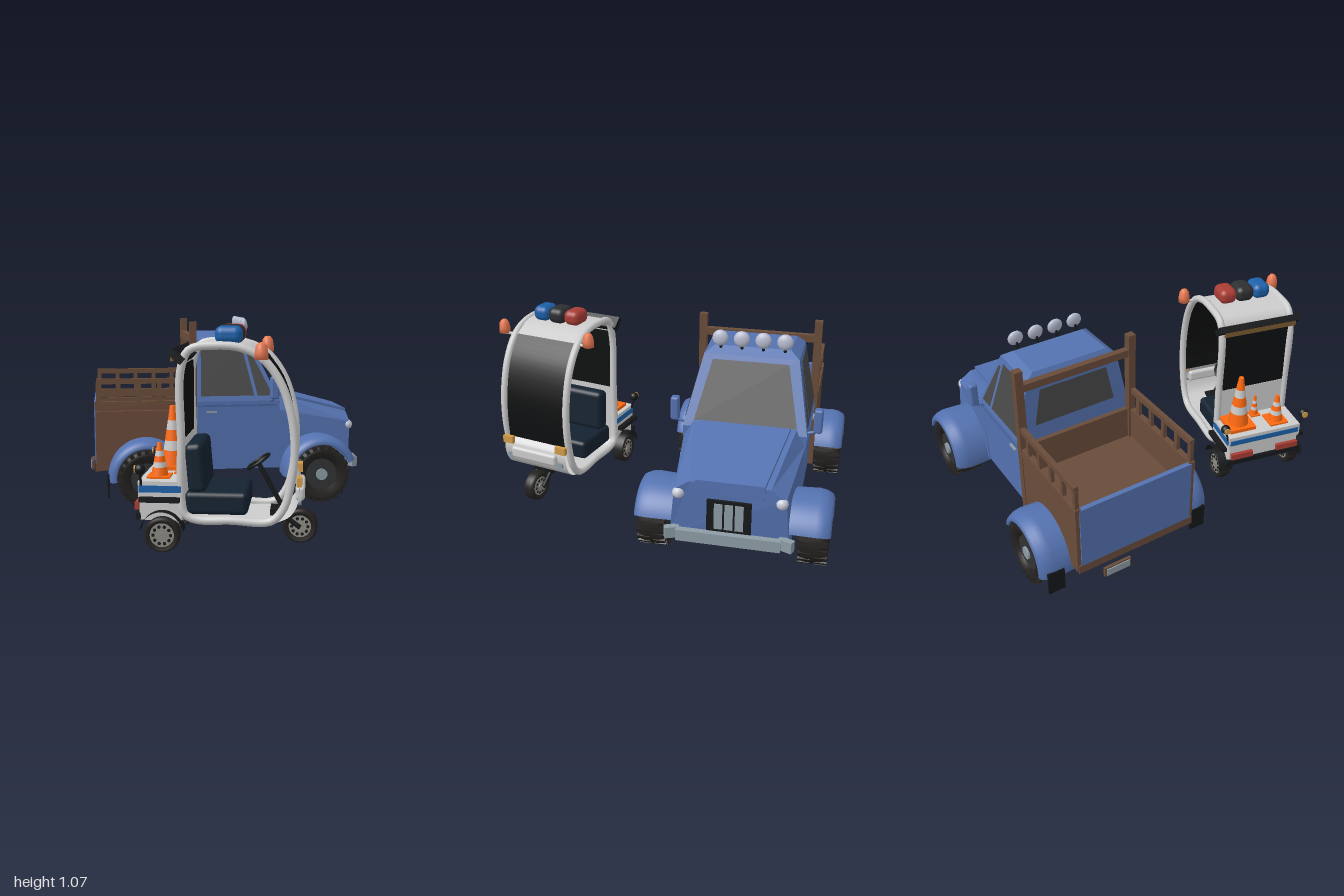
import * as THREE from 'three';
import { RoundedBoxGeometry } from 'three/addons/geometries/RoundedBoxGeometry.js';

const C = { blue: 0x5472b0, brown: 0x6a4c3a, dark: 0x16181a, tyre: 0x242220, glass: 0x484848, steel: 0x8d9ca6,
  white: 0xe4e4e4, orange: 0xff6a10, lamp: 0xe87850, red: 0xa83c34, navy: 0x142230, amber: 0xd09a48, stripe: 0x1c60a8, rim: 0x8a8880 };
const V = (x, y, z) => new THREE.Vector3(x, y, z);

function add(parent, name, geo, color, x = 0, y = 0, z = 0, opts = {}) {
  const m = new THREE.Mesh(geo, new THREE.MeshStandardMaterial({ color, ...opts }));
  m.name = name;
  m.position.set(x, y, z);
  parent.add(m);
  return m;
}
const box = (p, name, color, w, h, d, x, y, z) => add(p, name, new THREE.BoxGeometry(w, h, d), color, x, y, z);
const disc = (p, name, color, r, d, x, y, z) => add(p, name, new THREE.CylinderGeometry(r, r, d, 24).rotateX(Math.PI / 2), color, x, y, z);
const two = { side: THREE.DoubleSide };

// straight rod between two points
function rod(p, name, color, a, b, r) {
  const m = add(p, name, new THREE.CylinderGeometry(r, r, a.distanceTo(b), 10), color);
  m.position.copy(a).lerp(b, 0.5);
  m.quaternion.setFromUnitVectors(V(0, 1, 0), b.clone().sub(a).normalize());
  return m;
}

// symmetric hull along x; each section lists [y, halfWidth, x] from the bottom up
function loft(p, name, color, sections) {
  const rings = sections.map(s => [
    V(s[0][2], s[0][0], s[0][1]), ...s.map(q => V(q[2], q[0], -q[1])),
    ...s.slice(1).reverse().map(q => V(q[2], q[0], q[1]))]);
  const pos = [], tri = (...v) => v.forEach(q => pos.push(q.x, q.y, q.z));
  const n = rings[0].length;
  for (let i = 0; i < rings.length - 1; i++) for (let k = 0; k < n; k++) {
    const a = rings[i][k], b = rings[i][(k + 1) % n], c = rings[i + 1][(k + 1) % n], d = rings[i + 1][k];
    tri(a, b, c); tri(a, c, d);
  }
  const f = rings[0], l = rings[rings.length - 1];
  for (let k = 1; k < n - 1; k++) { tri(f[0], f[k + 1], f[k]); tri(l[0], l[k], l[k + 1]); }
  const g = new THREE.BufferGeometry().setAttribute('position', new THREE.Float32BufferAttribute(pos, 3));
  g.computeVertexNormals();
  return add(p, name, g, color);
}

// flat pane from four corners, lifted along its normal
function pane(p, name, color, c, lift = 0.004) {
  const n = c[1].clone().sub(c[0]).cross(c[3].clone().sub(c[0])).normalize().multiplyScalar(lift);
  const pts = [0, 1, 2, 0, 2, 3].map(i => c[i].clone().add(n));
  const g = new THREE.BufferGeometry().setFromPoints(pts);
  g.computeVertexNormals();
  return add(p, name, g, color, 0, 0, 0, two);
}

// sheet of constant width following a curve in the xy plane
function ribbon(p, name, color, pts, hw) {
  const curve = new THREE.CatmullRomCurve3(pts.map(q => V(q[0], q[1], 0)));
  const g = new THREE.PlaneGeometry(1, 1, 1, 20), a = g.attributes.position;
  for (let i = 0; i < a.count; i++) {
    const q = curve.getPoint(THREE.MathUtils.clamp(0.5 - a.getY(i), 0, 1));
    a.setXYZ(i, q.x, q.y, a.getX(i) * 2 * hw);
  }
  g.computeVertexNormals();
  return add(p, name, g, color, 0, 0, 0, two);
}
const turned = (pts, seg = 40, ...phi) => new THREE.LatheGeometry(pts.map(q => new THREE.Vector2(...q)), seg, ...phi);

// wheel with its axle on z
function wheel(p, name, r, w, x, y, z, rimR, lugs) {
  const g = new THREE.Group();
  g.name = name;
  const h = w / 2;
  add(g, 'tyre', turned([[rimR, -h * .7], [r * .8, -h], [r * .93, -h * .85], [r * .98, -h * .45], [r * .98, h * .45],
    [r * .93, h * .85], [r * .8, h], [rimR, h * .7], [rimR, -h * .7]]).rotateX(Math.PI / 2), C.tyre, 0, 0, 0, two);
  for (let i = 0; i < lugs; i++) for (const s of [-1, 1]) {
    const t = (i + (s > 0 ? .5 : 0)) / lugs * Math.PI * 2;
    const m = box(g, 'treadLug', C.tyre, r * .13, r * .14, h * .85, Math.cos(t) * r * .93, Math.sin(t) * r * .93, s * h * .55);
    m.rotation.z = t;
  }
  disc(g, 'rim', lugs ? 0x303234 : C.rim, rimR, w * .75, 0, 0, 0);
  disc(g, 'hub', lugs ? C.steel : C.rim, r * .2, w * .9, 0, 0, 0);
  if (!lugs) for (let i = 0; i < 10; i++) for (const s of [-1, 1]) {
    const t = i / 10 * Math.PI * 2;
    disc(g, 'rimHole', C.dark, r * .09, .004, Math.cos(t) * rimR * .72, Math.sin(t) * rimR * .72, s * w * .38);
  }
  g.position.set(x, y, z);
  p.add(g);
  return g;
}

function buildTruck() {
  const t = new THREE.Group();
  t.name = 'pickupTruck';
  // body, cabin and hood
  loft(t, 'cabLower', C.blue, [[[.2, .31, -.18], [.6, .325, -.18]], [[.2, .31, .3], [.6, .325, .3]]]);
  loft(t, 'cabUpper', C.blue, [[[.6, .325, -.18], [.95, .255, -.17]], [[.6, .325, .3], [.95, .25, .13]]]);
  loft(t, 'roof', C.blue, [[[.95, .255, -.17], [.985, .21, -.15]], [[.95, .25, .13], [.985, .2, .08]]]);
  loft(t, 'hood', C.blue, [[[.2, .315, .28], [.55, .322, .28], [.63, .27, .28]], [[.2, .3, .72], [.46, .275, .735], [.51, .2, .73]]]);
  loft(t, 'hoodPanel', C.blue, [[[.55, .24, .3], [.64, .24, .3]], [[.45, .17, .735], [.525, .17, .735]]]);
  // windows
  pane(t, 'windshield', C.glass, [V(.285, .63, .27), V(.285, .63, -.27), V(.142, .925, -.2), V(.142, .925, .2)]);
  pane(t, 'rearWindow', C.glass, [V(-.178, .69, -.23), V(-.178, .69, .23), V(-.172, .89, .19), V(-.172, .89, -.19)]);
  for (const s of [1, -1]) {
    const side = new THREE.Group();
    side.name = s > 0 ? 'rightSide' : 'leftSide';
    side.scale.z = s;
    t.add(side);
    const zAt = y => .325 - (y - .6) * .207;
    const win = (name, q) => pane(side, name, C.glass, q.map(([x, y]) => V(x, y, zAt(y))));
    win('sideWindow', [[-.16, .63], [.15, .63], [.08, .925], [-.155, .925]]);
    win('ventWindow', [[.17, .63], [.26, .63], [.125, .9], [.105, .9]]);
    box(side, 'doorHandle', C.steel, .06, .012, .012, -.1, .54, .328);
    box(side, 'beltTrim', 0x46609a, .46, .01, .008, .05, .575, .325);
    // mirror
    rod(side, 'mirrorArm', C.blue, V(.25, .6, .32), V(.26, .62, .385), .008);
    add(side, 'mirror', new RoundedBoxGeometry(.05, .13, .045, 2, .012), C.blue, .26, .68, .375);
    // wheels and fenders
    for (const [x, name] of [[.52, 'front'], [-.48, 'rear']]) {
      wheel(side, name + 'Wheel', .165, .15, x, .185, .41, .09, 22);
      add(side, name + 'Fender', turned([[.212, .29], [.218, .42], [.212, .455], [.197, .485], [.175, .495], [.168, .485], [.185, .46], [.2, .29]],
        32, THREE.MathUtils.degToRad(112), THREE.MathUtils.degToRad(163)).rotateX(Math.PI / 2), C.blue, x, .19, 0, two);
    }
    box(side, 'mudFlap', C.dark, .012, .13, .09, -.695, .15, .42);
    add(side, 'headlight', new THREE.SphereGeometry(.03, 20, 14), 0xc8ccd8, .725, .44, .255);
    // cargo bed side with stake rail
    box(side, 'bedSideLower', C.brown, .575, .34, .025, -.475, .385, .322);
    box(side, 'bedSideUpper', C.brown, .58, .05, .032, -.475, .585, .322);
    box(side, 'topRail', C.brown, .56, .03, .025, -.475, .725, .322);
    for (let i = 0; i < 5; i++) box(side, 'stake', C.brown, .025, .11, .02, -.745 + i * .115, .66, .322);
    box(side, 'headboardPost', C.brown, .04, .86, .042, -.205, .63, .318);
  }
  // cargo bed
  box(t, 'bedFloor', C.brown, .57, .22, .63, -.475, .32, 0);
  box(t, 'tailgate', C.blue, .025, .35, .63, -.757, .43, 0);
  box(t, 'rearSill', C.brown, .025, .045, .66, -.757, .233, 0);
  box(t, 'bedHeadboard', C.brown, .025, .4, .63, -.2, .41, 0);
  box(t, 'headboardBar', C.brown, .035, .04, .64, -.205, .96, 0);
  box(t, 'rearPlate', C.brown, .015, .055, .15, -.79, .17, -.13);
  box(t, 'plateFace', C.steel, .006, .04, .13, -.8, .17, -.13);
  // grille, bumper and axles
  box(t, 'grille', C.dark, .03, .18, .22, .728, .335, 0);
  for (const z of [-.052, 0, .052]) box(t, 'grilleSlat', C.steel, .01, .14, .042, .742, .34, z);
  box(t, 'bumper', C.steel, .035, .06, .52, .758, .225, 0);
  for (const s of [1, -1]) box(t, 'bumperEnd', C.steel, .035, .06, .075, .743, .225, s * .285).rotation.y = s * .4;
  for (const x of [.52, -.48]) disc(t, 'axle', C.dark, .02, .8, x, .185, 0);
  // roof lamps
  for (let i = 0; i < 4; i++) {
    const z = -.17 + i * .113;
    rod(t, 'lampStalk', C.dark, V(.09, .97, z), V(.1, 1.02, z), .008);
    const m = add(t, 'roofLamp', new THREE.SphereGeometry(.042, 20, 14).scale(.5, 1, 1), 0xb4b8cc, .11, 1.035, z);
    m.rotation.z = .15;
  }
  t.position.set(0, 0, -.475);
  t.rotation.y = -.04;
  return t;
}

function trafficCone(p, x, z, base, h) {
  const g = new THREE.Group();
  g.name = 'trafficCone';
  box(g, 'coneBase', C.orange, base, h * .07, base, 0, h * .035, 0);
  const r0 = base * .4, r1 = base * .09, steps = [.05, .3, .45, .62, .77, 1];
  for (let i = 0; i < 5; i++) {
    const a = steps[i], b = steps[i + 1], rad = k => r0 + (r1 - r0) * k;
    add(g, 'coneBand', new THREE.CylinderGeometry(rad(b), rad(a), h * (b - a), 24), i % 2 ? C.white : C.orange, 0, h * (a + b) / 2, 0);
  }
  g.position.set(x, .345, z);
  p.add(g);
}

function buildCart() {
  const c = new THREE.Group();
  c.name = 'patrolCart';
  const hw = .205;
  // cabin shell
  ribbon(c, 'roof', C.white, [[-.18, .88], [-.17, .94], [-.13, .98], [-.02, .993], [.1, .985], [.2, .935]], hw);
  ribbon(c, 'windshield', 0x0e0f10, [[.2, .935], [.285, .81], [.335, .65], [.35, .5], [.343, .36]], hw);
  ribbon(c, 'nose', C.white, [[.343, .36], [.372, .32], [.365, .25], [.33, .19], [.26, .155]], hw);
  ribbon(c, 'floor', C.white, [[.26, .155], [.1, .15], [-.12, .155], [-.18, .2]], hw);
  box(c, 'backPanel', C.white, .02, .36, hw * 2, -.18, .36, 0);
  box(c, 'backWindow', 0x0e0f10, .016, .36, hw * 2, -.18, .71, 0);
  const hoop = [[-.18, .25], [-.18, .55], [-.18, .87], [-.14, .965], [-.02, .985], [.1, .975], [.2, .925], [.285, .81], [.335, .65],
    [.348, .5], [.335, .36], [.3, .23], [.24, .165], [.05, .165], [-.11, .165], [-.165, .19]];
  for (const s of [1, -1]) {
    const path = new THREE.CatmullRomCurve3(hoop.map(q => V(q[0], q[1], s * hw)), true);
    add(c, 'doorFrame', new THREE.TubeGeometry(path, 96, .02, 10, true), C.white);
    // beacon lamps on brackets
    rod(c, 'beaconArm', C.white, V(.19, .93, s * .2), V(.197, .925, s * .276), .008);
    add(c, 'beacon', turned([[0, -.04], [.031, -.04], [.031, -.01], [.026, .02], [.014, .036], [0, .038]], 24), C.lamp, .197, .968, s * .276);
    // front lights
    box(c, 'turnSignal', C.amber, .025, .042, .065, .372, .352, s * .175);
    disc(c, 'headlight', C.steel, .02, .014, .374, .255, s * .165).rotation.y = Math.PI / 2;
    // rear wheels and fenders
    wheel(c, 'rearWheel', .087, .07, -.27, .095, s * .215, .058, 0);
    const f = add(c, 'rearFender', new THREE.CylinderGeometry(.105, .105, .08, 24, 1, true, Math.PI * .55, Math.PI * .9).rotateX(Math.PI / 2), C.dark, -.27, .1, s * .22, two);
    f.scale.y = 1.05;
    box(c, 'sideBumper', C.dark, .19, .022, .03, -.28, .265, s * .24);
    box(c, 'sideStripe', C.stripe, .2, .032, .006, -.28, .312, s * .222);
    // rear lamps
    rod(c, 'rearLampStalk', C.dark, V(-.37, .33, s * .22), V(-.37, .4, s * .24), .006);
    add(c, 'rearLamp', new THREE.SphereGeometry(.026, 16, 12), C.dark, -.37, .41, s * .24);
    disc(c, 'rearLampLens', C.amber, .018, .006, -.394, .41, s * .24).rotation.y = Math.PI / 2;
    box(c, 'tailLight', C.red, .02, .035, .13, -.395, .225, s * .14);
  }
  add(c, 'noseBumper', new RoundedBoxGeometry(.045, .07, .3, 3, .018), C.white, .375, .285, 0);
  // cargo tray
  box(c, 'trayBody', C.white, .2, .12, .42, -.28, .22, 0);
  box(c, 'trayDeck', C.white, .21, .075, .44, -.28, .31, 0);
  box(c, 'rearStripe', C.stripe, .006, .03, .42, -.386, .312, 0);
  box(c, 'rearBumper', C.dark, .02, .03, .46, -.385, .18, 0);
  trafficCone(c, -.27, -.116, .155, .32);
  trafficCone(c, -.3, .105, .11, .17);
  trafficCone(c, -.21, .013, .06, .13);
  // rear visor
  const visor = box(c, 'rearVisor', C.dark, .075, .035, .48, -.195, .935, 0);
  visor.rotation.z = -.7;
  box(c, 'visorStrip', 0x7a5a30, .01, .03, .42, -.222, .925, 0);
  // light bar
  for (const [z, color, w] of [[-.1, C.red, .1], [0, 0x2c2e30, .105], [.1, C.stripe, .1]]) {
    const m = add(c, 'lightBar', new RoundedBoxGeometry(.13, .085, w, 4, .035), color, .035, 1.03, z);
    if (z === 0) m.scale.set(1.03, 1.04, 1);
  }
  // seat and controls
  add(c, 'seatCushion', new RoundedBoxGeometry(.3, .11, .36, 3, .025), C.navy, -.02, .235, 0);
  const back = add(c, 'seatBack', new RoundedBoxGeometry(.09, .24, .34, 3, .03), C.navy, -.12, .4, 0);
  back.rotation.z = .08;
  rod(c, 'steeringColumn', C.dark, V(.28, .2, 0), V(.17, .4, 0), .012);
  const rim = add(c, 'steeringWheel', new THREE.TorusGeometry(.06, .008, 8, 28).rotateX(Math.PI / 2), C.dark, .17, .41, 0);
  rim.rotation.z = .6;
  for (let i = 0; i < 3; i++) {
    const a = i / 3 * Math.PI * 2;
    rod(rim, 'spoke', C.dark, V(0, 0, 0), V(Math.cos(a) * .06, 0, Math.sin(a) * .06), .005);
  }
  // front wheel and fork
  wheel(c, 'frontWheel', .087, .07, .375, .095, 0, .055, 0).rotation.y = -.05;
  for (const s of [1, -1]) rod(c, 'fork', C.dark, V(.26, .18, s * .045), V(.375, .095, s * .045), .012);
  box(c, 'forkMount', C.dark, .08, .04, .12, .27, .165, 0);
  c.position.set(-.175, 0, .633);
  c.rotation.y = -.27;
  return c;
}

export function createModel() {
  const model = new THREE.Group();
  model.name = 'truckAndCart';
  model.add(buildTruck(), buildCart());
  return model;
}
